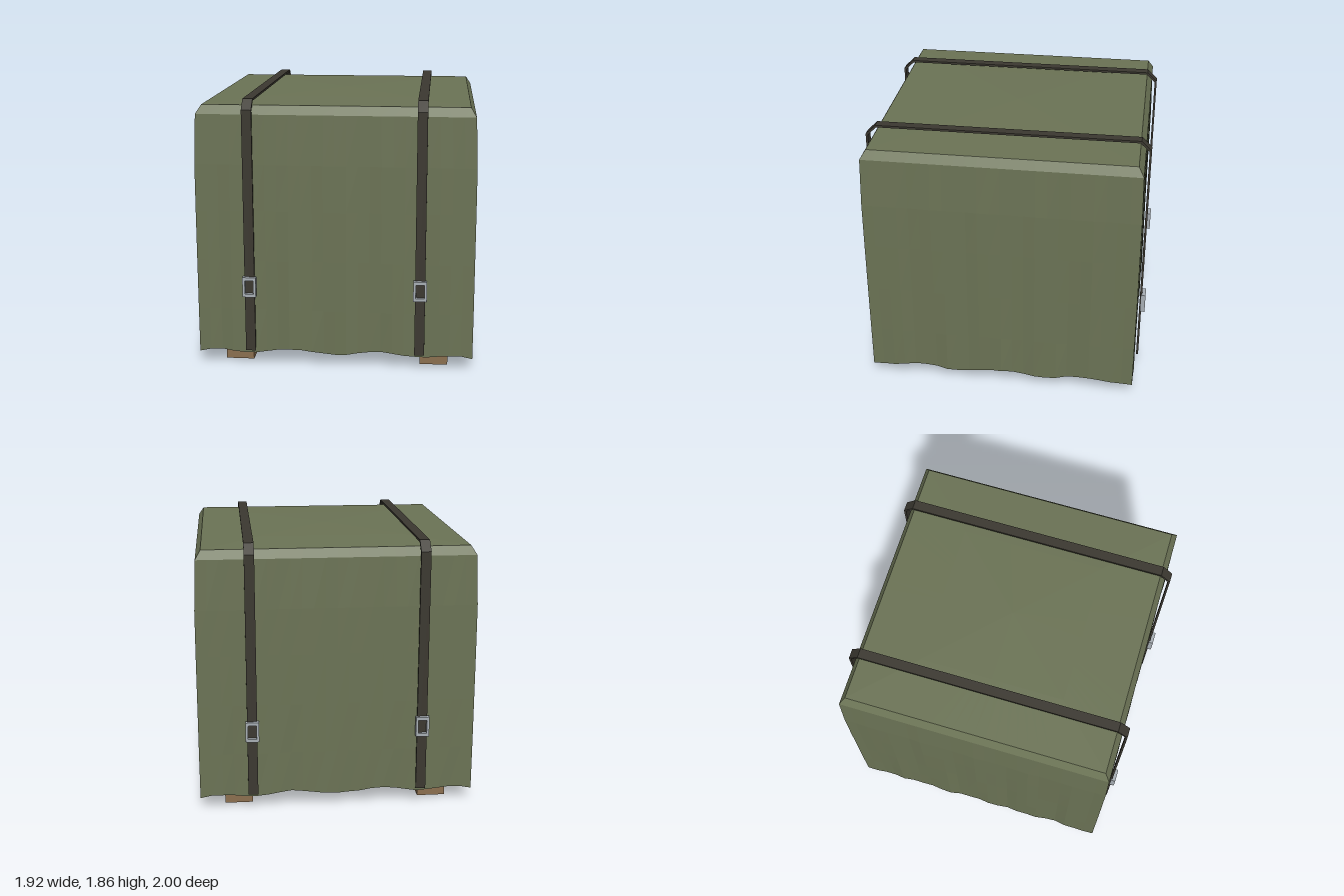
import * as THREE from 'three';

const mat = (name, color, side = THREE.FrontSide) =>
  Object.assign(new THREE.MeshStandardMaterial({ color, side }), { name });

// Draped cover: square loops from the wavy hem up to the shallow dome
function coverGeometry() {
  const N = 24; // segments per side
  // height, half width in x, half depth in z, pleat depth
  const rows = [
    [0.10, 0.95, 0.946, 0.010], [0.40, 0.951, 0.946, 0.008], [0.75, 0.951, 0.946, 0.006],
    [1.10, 0.951, 0.945, 0.005], [1.42, 0.95, 0.944, 0.004], [1.76, 0.937, 0.937, 0],
    [1.82, 0.90, 0.90, 0], [1.832, 0.50, 0.50, 0], [1.84, 0, 0, 0]
  ];
  const sides = [[0, 1], [1, 0], [0, -1], [-1, 0]]; // outward x, z
  const pos = [], idx = [], L = 4 * N;
  rows.forEach(([h, hx, hz, amp], r) => {
    sides.forEach(([nx, nz], s) => {
      for (let i = 0; i < N; i++) {
        const t = -1 + 2 * i / N; // along the side
        const fade = 1 - Math.pow(Math.abs(t), 10);
        const pleat = amp * fade * (0.6 * Math.sin(t * 17 + s * 2.1 + r * 0.35) + 0.4 * Math.sin(t * 31 + s * 1.3 - r * 0.6));
        const x = (nx + nz * t) * hx + nx * pleat;
        const z = (nz - nx * t) * hz + nz * pleat;
        let y = h;
        if (r === 0) {
          const wave = Math.cos(t * 0.95 * Math.PI / 0.3) * (nx ? 1 : -1);
          y += 0.015 * (wave * fade - (1 - fade));
        }
        pos.push(x, y, z);
      }
    });
  });
  for (let r = 0; r < rows.length - 1; r++) {
    for (let i = 0; i < L; i++) {
      const j = (i + 1) % L;
      const a = r * L + i, b = r * L + j, c = b + L, d = a + L;
      idx.push(a, b, c);
      if (r < rows.length - 2) idx.push(a, c, d);
    }
  }
  let g = new THREE.BufferGeometry();
  g.setAttribute('position', new THREE.Float32BufferAttribute(pos, 3));
  g.setIndex(idx);
  g = g.toNonIndexed(); // faceted cloth
  g.computeVertexNormals();
  return g;
}

// Strap: a thin band section in z and y, extruded across its width
function strapGeometry(width) {
  const outer = [[-0.975, 0.11], [-0.975, 1.795], [-0.905, 1.863], [0.905, 1.863], [0.975, 1.795], [0.975, 0.11]];
  const inner = [[0.96, 0.11], [0.96, 1.788], [0.898, 1.848], [-0.898, 1.848], [-0.96, 1.788], [-0.96, 0.11]];
  const shape = new THREE.Shape([...outer, ...inner].map(p => new THREE.Vector2(...p)));
  return new THREE.ExtrudeGeometry(shape, { depth: width, bevelEnabled: false })
    .translate(0, 0, -width / 2).rotateY(Math.PI / 2);
}

// Buckle: rectangular frame with an open middle
function buckleGeometry() {
  const rect = (C, w, h) => new C([[-w, -h], [w, -h], [w, h], [-w, h]].map(p => new THREE.Vector2(...p)));
  const shape = rect(THREE.Shape, 0.046, 0.07);
  shape.holes.push(rect(THREE.Path, 0.029, 0.048));
  return new THREE.ExtrudeGeometry(shape, { depth: 0.034, bevelEnabled: false }).translate(0, 0, -0.017);
}

export function createModel() {
  const model = new THREE.Group();
  model.name = 'coveredPalletLoad';
  const canvas = mat('canvas green', 0x6b7355, THREE.DoubleSide);
  const webbing = mat('dark webbing', 0x3b3830);
  const steel = mat('buckle steel', 0xa8afb5);
  const wood = mat('skid wood', 0x8b6f4f);
  const deckWood = mat('deck wood', 0x7f6246);

  const add = (name, geometry, material, x = 0, y = 0, z = 0) => {
    const m = new THREE.Mesh(geometry, material);
    m.name = name;
    m.position.set(x, y, z);
    model.add(m);
  };

  add('cover', coverGeometry(), canvas);

  // Pallet under the cover
  add('deck', new THREE.BoxGeometry(1.72, 0.06, 1.7), deckWood, 0, 0.15, 0);
  const skid = new THREE.BoxGeometry(0.195, 0.12, 1.7);
  const strap = strapGeometry(0.068);
  const buckle = buckleGeometry();
  for (const s of [1, -1]) {
    const side = s > 0 ? 'left' : 'right';
    add(side + 'Skid', skid, wood, s * 0.683, 0.06, 0);
    add(side + 'Strap', strap, webbing, s * 0.585, 0, 0);
    add(side + 'FrontBuckle', buckle, steel, s * 0.585, 0.575, 0.983);
    add(side + 'BackBuckle', buckle, steel, s * 0.585, 0.575, -0.983);
  }
  return model;
}
